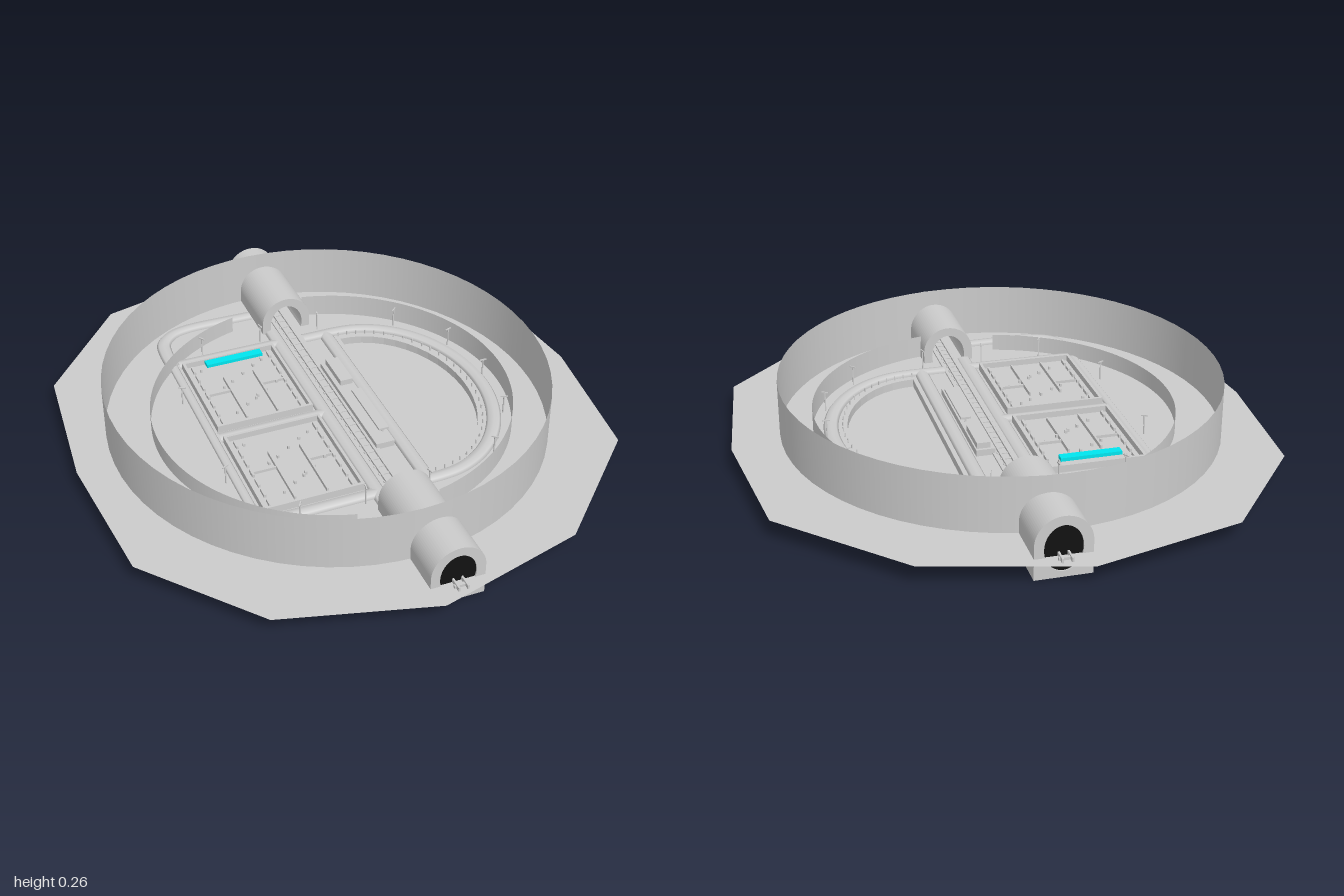
import * as THREE from 'three';

const G = 0.07; // ground level
const grey = new THREE.MeshStandardMaterial({ color: 0xcccccc, side: THREE.DoubleSide });
const black = new THREE.MeshStandardMaterial({ color: 0x111111, side: THREE.DoubleSide });
const cyan = new THREE.MeshStandardMaterial({ color: 0x00e5ee, side: THREE.DoubleSide });

export function createModel() {
  const model = new THREE.Group();

  const add = (name, geo, mat = grey, parent = model) => {
    const mesh = new THREE.Mesh(geo, mat);
    mesh.name = name;
    parent.add(mesh);
    return mesh;
  };
  // Box given by its x, y and z ranges
  const box = (name, x0, x1, y0, y1, z0, z1, mat) => {
    const m = add(name, new THREE.BoxGeometry(x1 - x0, y1 - y0, z1 - z0), mat);
    m.position.set((x0 + x1) / 2, (y0 + y1) / 2, (z0 + z1) / 2);
    return m;
  };
  // Low rounded path following points on the ground
  const path = (name, pts, r = 0.025) => {
    const curve = new THREE.CatmullRomCurve3(pts.map(([x, z]) => new THREE.Vector3(x, 0, z)), false, 'centripetal');
    const m = add(name, new THREE.TubeGeometry(curve, pts.length * 6, r, 8));
    m.scale.y = 0.5;
    m.position.y = G;
  };
  // Open upright elliptical band
  const band = (name, cx, rx, rz, y0, y1, start = 0, len = Math.PI * 2) => {
    const m = add(name, new THREE.CylinderGeometry(1, 1, y1 - y0, 64, 1, true, start, len));
    m.scale.set(rx, 1, rz);
    m.position.set(cx, (y0 + y1) / 2, 0);
  };
  // Half-ellipse lagoon outline, straight on its -x side
  const lagoonPoints = (rx, rz, n = 24) => Array.from({ length: n + 1 }, (_, i) => {
    const a = -Math.PI / 2 + Math.PI * i / n;
    return new THREE.Vector2(0.195 + rx * Math.cos(a), rz * Math.sin(a));
  });

  // Twelve-sided ground sheet with an opening for the lagoon
  const ground = new THREE.Shape([
    [-0.04, -1], [0.46, -0.87], [0.825, -0.5], [0.885, 0], [0.825, 0.5], [0.46, 0.865],
    [-0.04, 1], [-0.535, 0.865], [-0.84, 0.5], [-0.885, 0], [-0.84, -0.5], [-0.535, -0.87],
  ].map(p => new THREE.Vector2(...p)));
  ground.holes.push(new THREE.Path(lagoonPoints(0.3, 0.4)));
  add('ground', new THREE.ShapeGeometry(ground).rotateX(Math.PI / 2).translate(0, G, 0));

  // Sunken lagoon: floor and side walls
  const basin = lagoonPoints(0.3, 0.4);
  add('lagoonFloor', new THREE.ShapeGeometry(new THREE.Shape(basin)).rotateX(Math.PI / 2).translate(0, 0.042, 0));
  basin.forEach((p, i) => {
    const q = basin[(i + 1) % basin.length];
    const side = add('lagoonSide', new THREE.PlaneGeometry(p.distanceTo(q), 0.032));
    side.position.set((p.x + q.x) / 2, 0.054, (p.y + q.y) / 2);
    side.rotation.y = -Math.atan2(q.y - p.y, q.x - p.x);
  });

  // Outer wall and lower inner backdrop, the latter broken at the tunnels
  band('outerWall', -0.02, 0.74, 0.777, G, 0.257);
  band('innerWallLeft', 0, 0.61, 0.61, G, 0.15, 0.2, Math.PI - 0.4);
  band('innerWallRight', 0, 0.61, 0.61, G, 0.13, Math.PI + 0.25, Math.PI - 0.5);

  // Arched tunnels at both ends of the track
  const hood = new THREE.Shape();
  hood.moveTo(-0.09, 0);
  hood.lineTo(0.09, 0);
  hood.lineTo(0.09, 0.11);
  hood.absarc(0, 0.11, 0.09, 0, Math.PI);
  hood.closePath();
  const bore = new THREE.Path();
  bore.absellipse(0, 0.095, 0.06, 0.075, 0, Math.PI * 2);
  hood.holes.push(bore);
  for (const s of [-1, 1]) {
    const tunnel = new THREE.Group();
    tunnel.name = s > 0 ? 'frontTunnel' : 'backTunnel';
    tunnel.position.x = 0.035;
    model.add(tunnel);
    const geo = new THREE.ExtrudeGeometry(hood, { depth: 0.39, bevelEnabled: false, curveSegments: 20 });
    add('tunnelHood', geo, grey, tunnel).position.z = s > 0 ? 0.53 : -0.92;
    const portal = add('darkPortal', new THREE.CircleGeometry(1, 32), black, tunnel);
    portal.scale.set(0.06, 0.075, 1);
    portal.position.set(0, 0.095, s * 0.915);
  }

  // Track: bed, rails and sleepers
  box('trackBed', 0, 0.07, G, 0.076, -0.9, 0.9);
  for (const x of [0.02, 0.05]) box('rail', x - 0.003, x + 0.003, 0.068, 0.084, -0.96, 0.96);
  for (let z = -0.94; z < 0.95; z += 0.04) box('sleeper', 0.012, 0.058, 0.07, 0.079, z - 0.005, z + 0.005);

  // Platform beside the track with low shelters
  box('platform', 0.06, 0.125, G, 0.092, -0.25, 0.25);
  box('platformBuilding', 0.075, 0.12, 0.092, 0.112, -0.24, -0.1);
  box('platformShelter', 0.09, 0.125, 0.105, 0.112, -0.04, 0.2);
  for (const z of [-0.03, 0.08, 0.19]) box('shelterPost', 0.104, 0.11, 0.09, 0.107, z - 0.003, z + 0.003);

  // Walkways
  path('lagoonWalk', [[0.07, -0.45], [0.13, -0.45], ...lagoonPoints(0.355, 0.45, 16).map(p => [p.x, p.y]),
    [0.13, 0.45], [0.07, 0.45]]);
  path('shoreWalk', [[0.155, -0.45], [0.155, 0.45]]);
  path('trackWalk', [[-0.022, -0.53], [-0.022, 0.53]]);
  for (const z of [-0.455, 0, 0.455]) path('crossWalk', [[-0.4, z], [-0.02, z]]);
  path('sideWalk', [[-0.42, -0.45], [-0.42, 0.45]], 0.016);
  for (const s of [-1, 1]) path('tunnelWalk', [[-0.06, s * 0.665], [-0.31, s * 0.665], [-0.37, s * 0.645],
    [-0.41, s * 0.6], [-0.42, s * 0.54], [-0.42, s * 0.45]]);

  // Two exhibit yards: rim, inner partitions and small fittings
  const yards = [[-0.43, -0.03], [0.025, 0.425]];
  for (const [z0, z1] of yards) {
    const x0 = -0.395, x1 = -0.055, zm = (z0 + z1) / 2, t = 0.01;
    box('yardFloor', x0, x1, G, 0.075, z0, z1);
    box('yardRim', x0, x1, G, 0.096, z0, z0 + t);
    box('yardRim', x0, x1, G, 0.096, z1 - t, z1);
    box('yardRim', x0, x0 + t, G, 0.096, z0, z1);
    box('yardRim', x1 - t, x1, G, 0.096, z0, z1);
    for (const x of [-0.28, -0.17]) box('yardPartition', x - 0.003, x + 0.003, G, 0.088, z0 + 0.12, z1 - 0.03);
    for (const x of [-0.325, -0.125]) box('yardDivider', x - 0.045, x + 0.045, G, 0.085, zm - 0.003, zm + 0.003);
    for (const x of [-0.365, -0.085]) {
      for (let i = 0; i < 7; i++) {
        const z = z0 + 0.04 + i * (z1 - z0 - 0.08) / 6;
        box('bench', x - 0.004, x + 0.004, 0.075, 0.086, z - 0.018, z + 0.018);
      }
    }
    for (let i = 0; i < 12; i++) {
      const x = -0.34 + (i * 0.137) % 0.23, z = z0 + 0.05 + (i * 0.211) % 0.3;
      box('fitting', x - 0.004, x + 0.004, 0.075, 0.086, z - 0.004, z + 0.004);
    }
  }
  box('brightSign', -0.32, -0.115, 0.094, 0.106, -0.4, -0.37, cyan);

  // Lamp posts with short arms along the walkways
  const lamp = (x, z) => {
    box('lampPost', x - 0.002, x + 0.002, G, 0.138, z - 0.002, z + 0.002);
    const arm = box('lampArm', x - 0.012, x + 0.012, 0.136, 0.14, z - 0.002, z + 0.002);
    arm.rotation.y = Math.atan2(-z, x);
  };
  lamp(0.57, 0);
  for (const s of [-1, 1]) {
    for (const [x, z] of [[0.54, 0.22], [0.41, 0.41], [0.14, 0.49], [-0.08, 0.49], [-0.3, 0.49], [-0.455, 0.23]]) lamp(x, s * z);
  }

  // Low fence posts around the lagoon
  for (const p of lagoonPoints(0.315, 0.42, 30)) box('fencePost', p.x - 0.002, p.x + 0.002, G, 0.085, p.y - 0.002, p.y + 0.002);

  return model;
}
